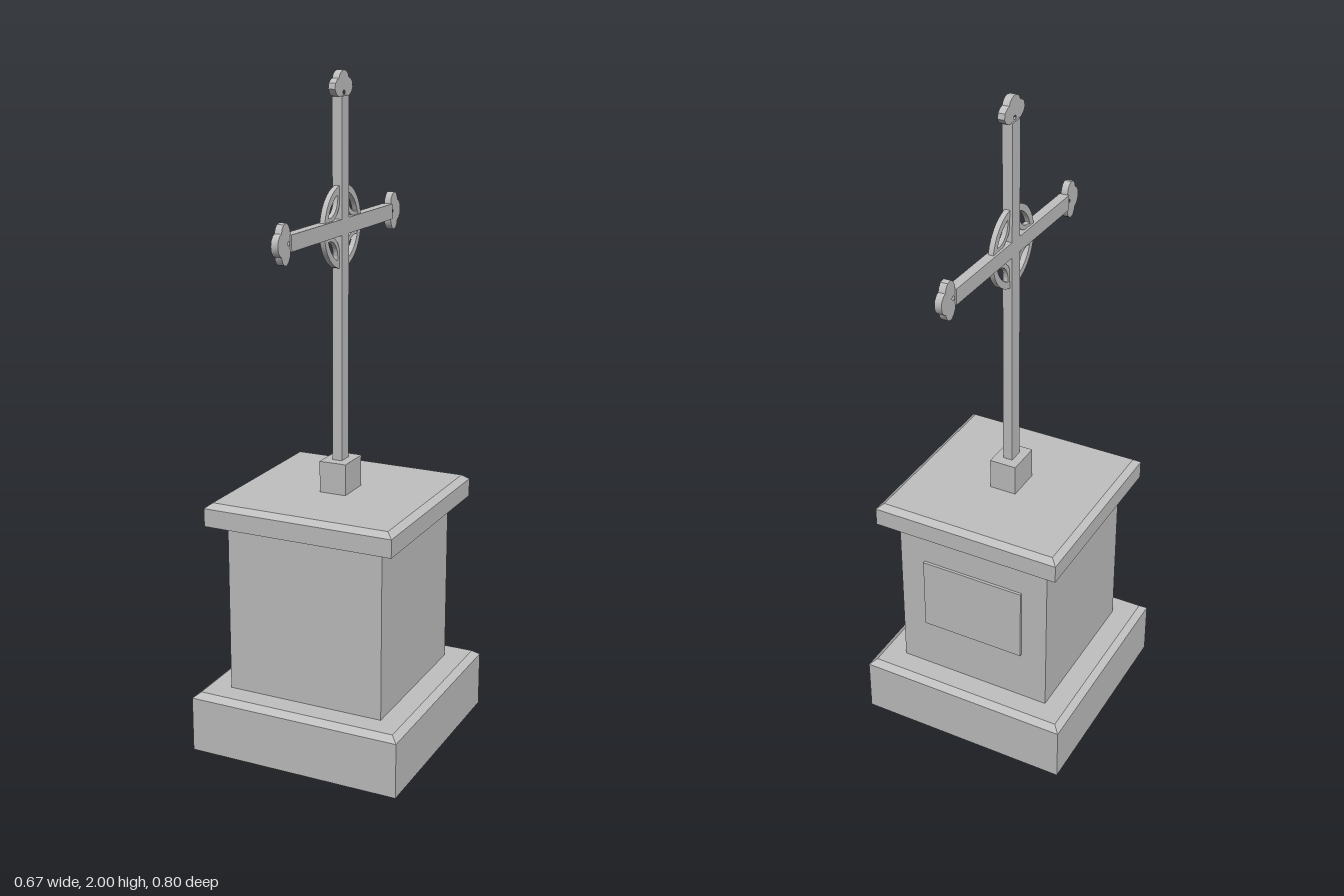
import * as THREE from 'three';
import { toCreasedNormals } from 'three/addons/utils/BufferGeometryUtils.js';

export function createModel() {
  const model = new THREE.Group();
  const stone = new THREE.MeshStandardMaterial({ color: 0xc0c0c0 });
  stone.name = 'grey stone';

  const add = (name, geometry, parent = model) => {
    const mesh = new THREE.Mesh(geometry, stone);
    mesh.name = name;
    parent.add(mesh);
    return mesh;
  };

  const box = (name, w, h, d, x, y, z, parent) =>
    add(name, new THREE.BoxGeometry(w, h, d), parent).position.set(x, y, z);

  // Square block from y0 to y1, tapering between two half widths
  const block = (name, halfBottom, halfTop, y0, y1) => {
    const g = new THREE.CylinderGeometry(halfTop * Math.SQRT2, halfBottom * Math.SQRT2, y1 - y0, 4);
    g.rotateY(Math.PI / 4).translate(0, (y0 + y1) / 2, 0);
    add(name, toCreasedNormals(g, 0.3));
  };

  // Plate drawn in (z, y), centred on x = 0
  const plate = (shape, thickness) => {
    const g = new THREE.ExtrudeGeometry(shape, { depth: thickness, bevelEnabled: false, curveSegments: 24 });
    g.translate(0, 0, -thickness / 2).rotateY(-Math.PI / 2);
    return toCreasedNormals(g, 0.5);
  };

  // Pedestal
  block('plinth', 0.333, 0.333, 0, 0.17);
  block('plinthChamfer', 0.333, 0.313, 0.17, 0.186);
  block('pedestalBody', 0.247, 0.247, 0.186, 0.71);
  block('capSlab', 0.297, 0.297, 0.71, 0.765);
  block('capChamfer', 0.297, 0.278, 0.765, 0.78);
  box('backPlaque', 0.33, 0.235, 0.009, 0, 0.467, -0.2511);
  box('crossSocket', 0.084, 0.095, 0.11, 0, 0.8275, 0);

  // Cross, standing in the z-y plane, with its origin at the crossing
  const cross = new THREE.Group();
  cross.name = 'cross';
  cross.position.y = 1.566;
  model.add(cross);
  box('upright', 0.03, 1.055, 0.046, 0, -0.1635, 0, cross);
  box('crossArm', 0.03, 0.046, 0.66, 0, 0, 0, cross);

  // Open ring around the crossing
  const ring = new THREE.Shape().absarc(0, 0, 0.12, 0, Math.PI * 2);
  ring.holes.push(new THREE.Path().absarc(0, 0, 0.1, 0, Math.PI * 2, true));
  add('ring', plate(ring, 0.016), cross);

  // Curved tracery, one arc in each quadrant
  for (let i = 0; i < 4; i++) {
    const a = Math.PI / 4 + i * Math.PI / 2;
    const cx = 0.12 * Math.cos(a), cy = 0.12 * Math.sin(a);
    const from = a + Math.PI - 1.1, to = a + Math.PI + 1.1;
    const arc = new THREE.Shape();
    arc.absarc(cx, cy, 0.066, from, to, false);
    arc.absarc(cx, cy, 0.052, to, from, true);
    arc.closePath();
    add('tracery', plate(arc, 0.014), cross);
  }

  // Lobed finials with a small pierced hole
  const half = [[0.002, 0.023], [0.004, 0.036], [0.012, 0.049], [0.024, 0.057], [0.04, 0.054],
    [0.049, 0.043], [0.053, 0.031], [0.063, 0.026], [0.071, 0.015]];
  const outline = [...half, [0.074, 0], ...half.map(([u, v]) => [u, -v]).reverse()];
  const finial = new THREE.Shape(outline.map(([u, v]) => new THREE.Vector2(u, v)));
  finial.holes.push(new THREE.Path().absarc(0.013, 0, 0.006, 0, Math.PI * 2, true));
  for (const [angle, distance] of [[0, 0.326], [Math.PI / 2, 0.36], [Math.PI, 0.326]]) {
    const mesh = add('finial', plate(finial, 0.021), cross);
    mesh.rotation.x = -angle;
    mesh.position.set(0, distance * Math.sin(angle), distance * Math.cos(angle));
  }

  return model;
}
